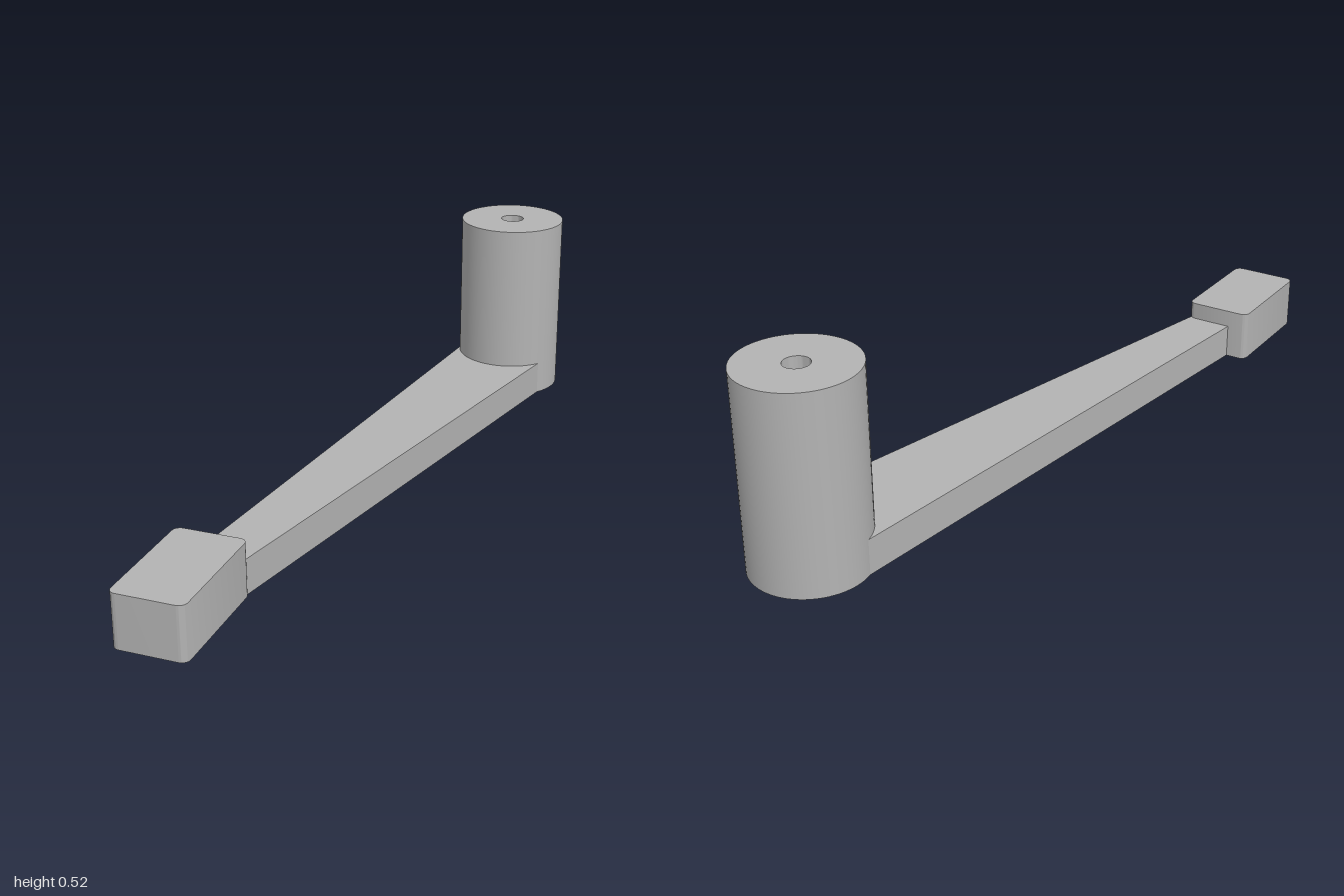
import * as THREE from 'three';
import { toCreasedNormals } from 'three/addons/utils/BufferGeometryUtils.js';

const HUB = { x: 0.111, z: -0.849, r: 0.151, height: 0.516 };
const BORE = { r: 0.033, floor: 0.12 };

// Extrudes a plan outline, drawn as (x, -z), upward from the ground.
function extrudePlan(shape, height) {
  const geometry = new THREE.ExtrudeGeometry(shape, { depth: height, bevelEnabled: false, curveSegments: 16 });
  geometry.rotateX(-Math.PI / 2);
  return toCreasedNormals(geometry, Math.PI / 6);
}

function roundedRectangle(x0, x1, y0, y1, r) {
  const s = new THREE.Shape();
  s.absarc(x1 - r, y0 + r, r, -Math.PI / 2, 0);
  s.absarc(x1 - r, y1 - r, r, 0, Math.PI / 2);
  s.absarc(x0 + r, y1 - r, r, Math.PI / 2, Math.PI);
  s.absarc(x0 + r, y0 + r, r, Math.PI, Math.PI * 1.5);
  s.closePath();
  return s;
}

export function createModel() {
  const model = new THREE.Group();
  model.name = 'crankArm';
  const grey = new THREE.MeshStandardMaterial({ color: 0xb3b3b3 });
  grey.name = 'grey';

  const add = (name, geometry) => {
    const mesh = new THREE.Mesh(geometry, grey);
    mesh.name = name;
    model.add(mesh);
    return mesh;
  };

  // Upright cylinder with a blind bore in its top
  const profile = [
    [0, 0], [HUB.r, 0], [HUB.r, HUB.height],
    [BORE.r, HUB.height], [BORE.r, BORE.floor], [0, BORE.floor],
  ].map(([x, y]) => new THREE.Vector2(x, y));
  const hub = add('uprightCylinder', toCreasedNormals(new THREE.LatheGeometry(profile, 72), Math.PI / 6));
  hub.position.set(HUB.x, 0, HUB.z);

  // Tapered arm, cut to the curve of the cylinder at its wide end
  const arm = new THREE.Shape();
  arm.moveTo(-0.208, -0.7);
  arm.lineTo(-0.084, -0.7);
  const right = Math.atan2(-0.089, 0.122);
  const left = Math.atan2(-0.03, -0.148);
  arm.absarc(HUB.x, -HUB.z, HUB.r - 0.001, right, left, true);
  arm.closePath();
  add('taperedArm', extrudePlan(arm, 0.094));

  // End block with rounded upright edges
  add('endBlock', extrudePlan(roundedRectangle(-0.263, -0.076, -1, -0.675, 0.02), 0.142));

  return model;
}
